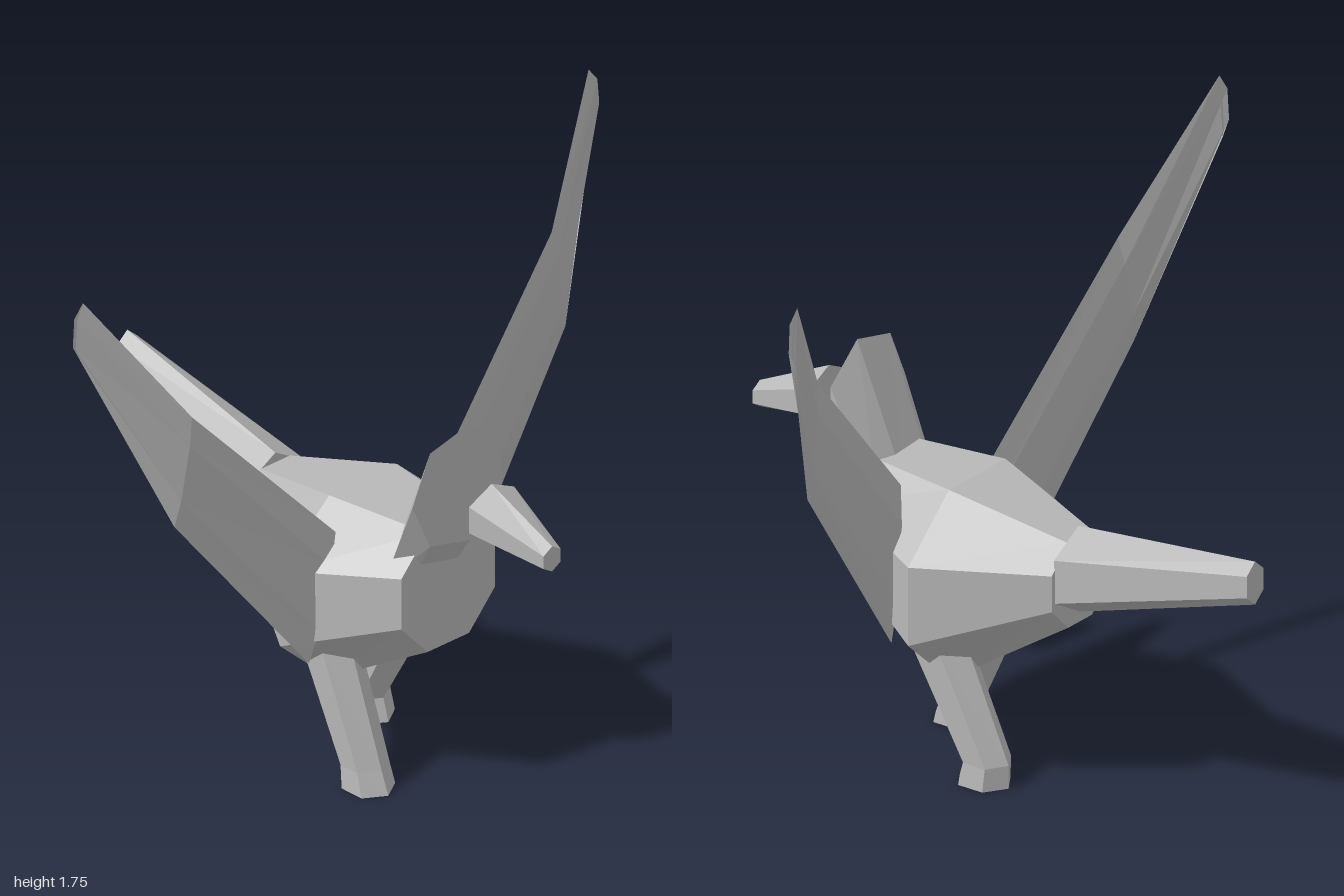
import * as THREE from 'three';

// Skin a list of equal-sized rings of points and cap both ends.
function loft(name, rings, material) {
  const n = rings[0].length, tris = [];
  for (let r = 0; r < rings.length - 1; r++) {
    for (let i = 0; i < n; i++) {
      const j = (i + 1) % n, a = rings[r], b = rings[r + 1];
      tris.push([a[i], a[j], b[j]], [a[i], b[j], b[i]]);
    }
  }
  const last = rings[rings.length - 1];
  for (let i = 1; i < n - 1; i++) {
    tris.push([rings[0][0], rings[0][i + 1], rings[0][i]], [last[0], last[i], last[i + 1]]);
  }
  // a negative volume means the faces point inward, so turn them round
  let volume = 0;
  for (const [a, b, c] of tris) volume += a.dot(b.clone().cross(c));
  const points = tris.flatMap(([a, b, c]) => (volume < 0 ? [a, c, b] : [a, b, c]));
  const geometry = new THREE.BufferGeometry().setFromPoints(points);
  geometry.computeVertexNormals();
  const mesh = new THREE.Mesh(geometry, material);
  mesh.name = name;
  return mesh;
}

const vec = (x, y, z) => new THREE.Vector3(x, y, z);

// Ring of n points: centre + cos * u + sin * v
function ring(n, start, centre, u, v) {
  return Array.from({ length: n }, (_, i) => {
    const a = start + (i / n) * Math.PI * 2;
    return vec(...centre).addScaledVector(vec(...u), Math.cos(a)).addScaledVector(vec(...v), Math.sin(a));
  });
}

// Octagon in the xy plane with flat top, bottom and sides
function octagon(z, cy, hw, hh, flatX, flatY) {
  return [[hw, flatY], [flatX, hh], [-flatX, hh], [-hw, flatY],
    [-hw, -flatY], [-flatX, -hh], [flatX, -hh], [hw, -flatY]].map(([x, y]) => vec(x, cy + y, z));
}

export function createModel() {
  const group = new THREE.Group();
  const grey = new THREE.MeshStandardMaterial({ color: 0xb8b8b8, flatShading: true });
  grey.name = 'plain grey';

  // Body: narrow chest, broad middle, small rump
  group.add(loft('body', [
    octagon(0.48, 0.66, 0.18, 0.19, 0.08, 0.08),
    octagon(0.135, 0.56, 0.318, 0.29, 0.13, 0.12),
    octagon(-0.225, 0.63, 0.13, 0.13, 0.055, 0.055),
  ], grey));

  // Head: seven-sided, leaning forward to a flat upright face
  group.add(loft('head', [
    ring(7, Math.PI, [0, 0.68, 0.38], [0.15, 0, 0], [0, 0.085, -0.02]),
    ring(7, Math.PI, [0, 0.985, 0.525], [0.18, 0, 0], [0, 0.19, 0]),
  ], grey));

  // Beak and tail: tapering six-sided prisms along z
  const hexXY = (x, y, z, rx, ry) => ring(6, Math.PI / 2, [x, y, z], [rx, 0, 0], [0, ry, 0]);
  group.add(loft('beak', [
    hexXY(0.005, 0.96, 0.65, 0.1, 0.083),
    hexXY(0.015, 0.895, 0.885, 0.038, 0.04),
  ], grey));
  group.add(loft('tail', [
    hexXY(0, 0.66, -0.22, 0.132, 0.132),
    hexXY(0.062, 0.825, -0.885, 0.044, 0.066),
  ], grey));

  // Legs: hip, ankle and sole, one striding forward and one back
  const leg = (name, stations) => loft(name, stations.map(([x, y, z, rx, rz]) =>
    ring(6, 0, [x, y, z], [0, 0, rz], [rx, 0, 0])), grey);
  group.add(leg('leftLeg', [
    [0.155, 0.42, 0.16, 0.08, 0.1],
    [0.145, 0.07, -0.01, 0.07, 0.075],
    [0.145, 0, 0, 0.075, 0.085],
  ]));
  group.add(leg('rightLeg', [
    [-0.155, 0.42, 0.16, 0.08, 0.09],
    [-0.145, 0.07, 0.295, 0.07, 0.068],
    [-0.145, 0, 0.31, 0.075, 0.08],
  ]));

  // Wings: thin blades; each station has an upper and a lower edge point,
  // the half thickness, and how far the middle bows outward
  const wing = (name, stations) => loft(name, stations.map(([top, bottom, t, bow]) => {
    const a = vec(...top), b = vec(...bottom);
    const at = (k, s) => a.clone().lerp(b, k).add(vec(bow, 0, s * t));
    return [a, at(0.25, 1), at(0.75, 1), b, at(0.75, -1), at(0.25, -1)];
  }), grey);
  group.add(wing('leftWing', [
    [[0.22, 0.87, 0.235], [0.28, 0.41, 0.222], 0.012, 0],
    [[0.7, 1.38, 0.16], [0.765, 1.05, 0.147], 0.01, 0],
    [[0.965, 1.745, 0.03], [0.99, 1.58, 0.018], 0.006, 0.025],
  ]));
  group.add(wing('rightWing', [
    [[-0.2, 0.8, 0.235], [-0.29, 0.41, 0.222], 0.012, 0],
    [[-0.68, 1.32, 0.16], [-0.735, 0.985, 0.147], 0.01, 0],
    [[-0.975, 1.745, 0.03], [-0.975, 1.56, 0.018], 0.006, -0.025],
  ]));

  return group;
}
